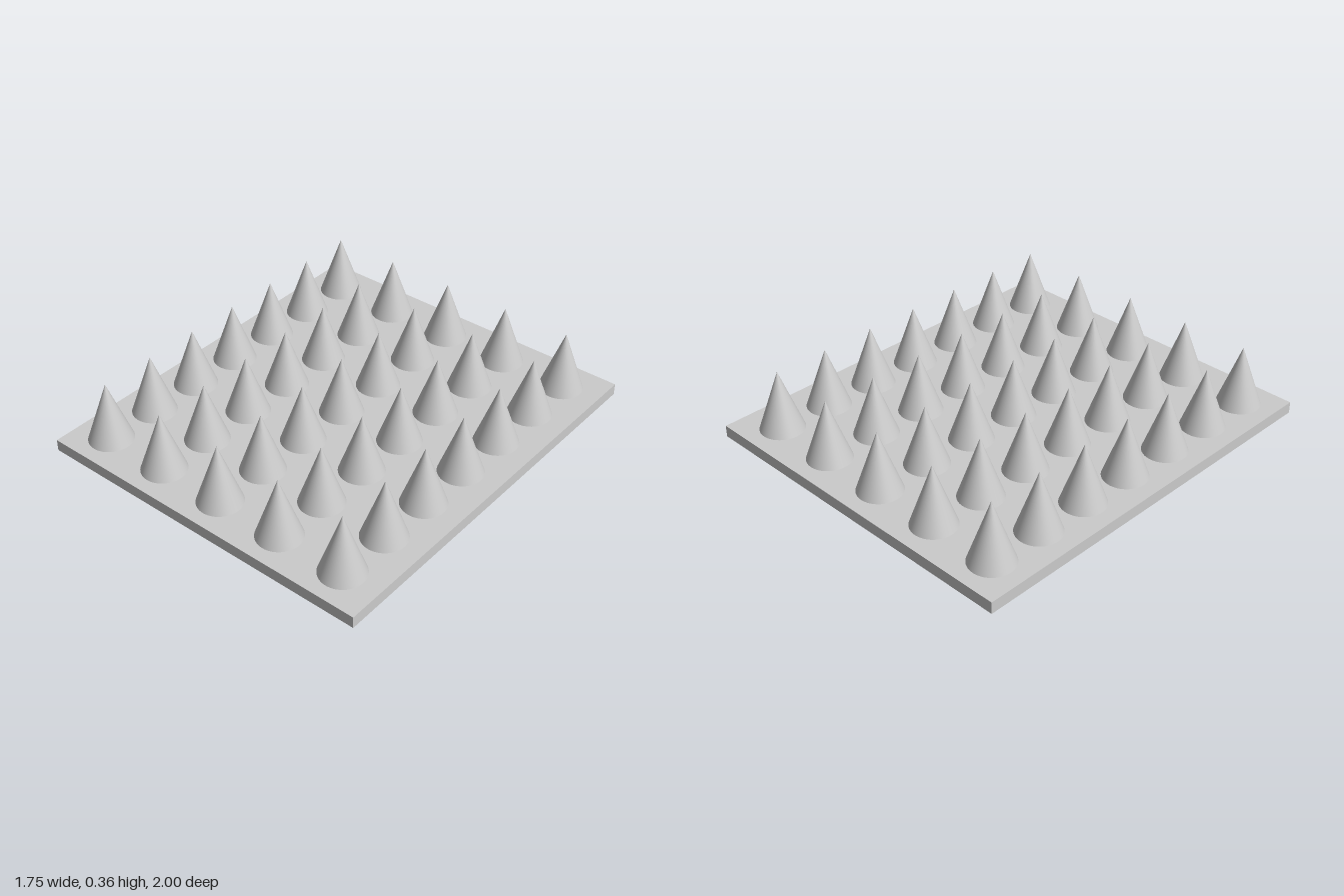
import * as THREE from 'three';

export function createModel() {
  const model = new THREE.Group();
  const material = new THREE.MeshStandardMaterial({ color: 0xcccccc });
  const plateHeight = 0.058, spikeHeight = 0.3, spikeRadius = 0.107;

  // Flat base plate
  const plate = new THREE.Mesh(new THREE.BoxGeometry(1.748, plateHeight, 2), material);
  plate.name = 'basePlate';
  plate.position.y = plateHeight / 2;
  model.add(plate);

  // Grid of spikes, 5 across and 7 deep, standing on the plate
  const spikes = new THREE.Group();
  spikes.name = 'spikes';
  spikes.position.set(-0.009, plateHeight + spikeHeight / 2, 0.003);
  const cone = new THREE.ConeGeometry(spikeRadius, spikeHeight, 64);
  for (let row = -3; row <= 3; row++) {
    for (let column = -2; column <= 2; column++) {
      const spike = new THREE.Mesh(cone, material);
      spike.name = 'spike';
      spike.position.set(column * 0.343, 0, row * 0.2747);
      spikes.add(spike);
    }
  }
  model.add(spikes);

  return model;
}
